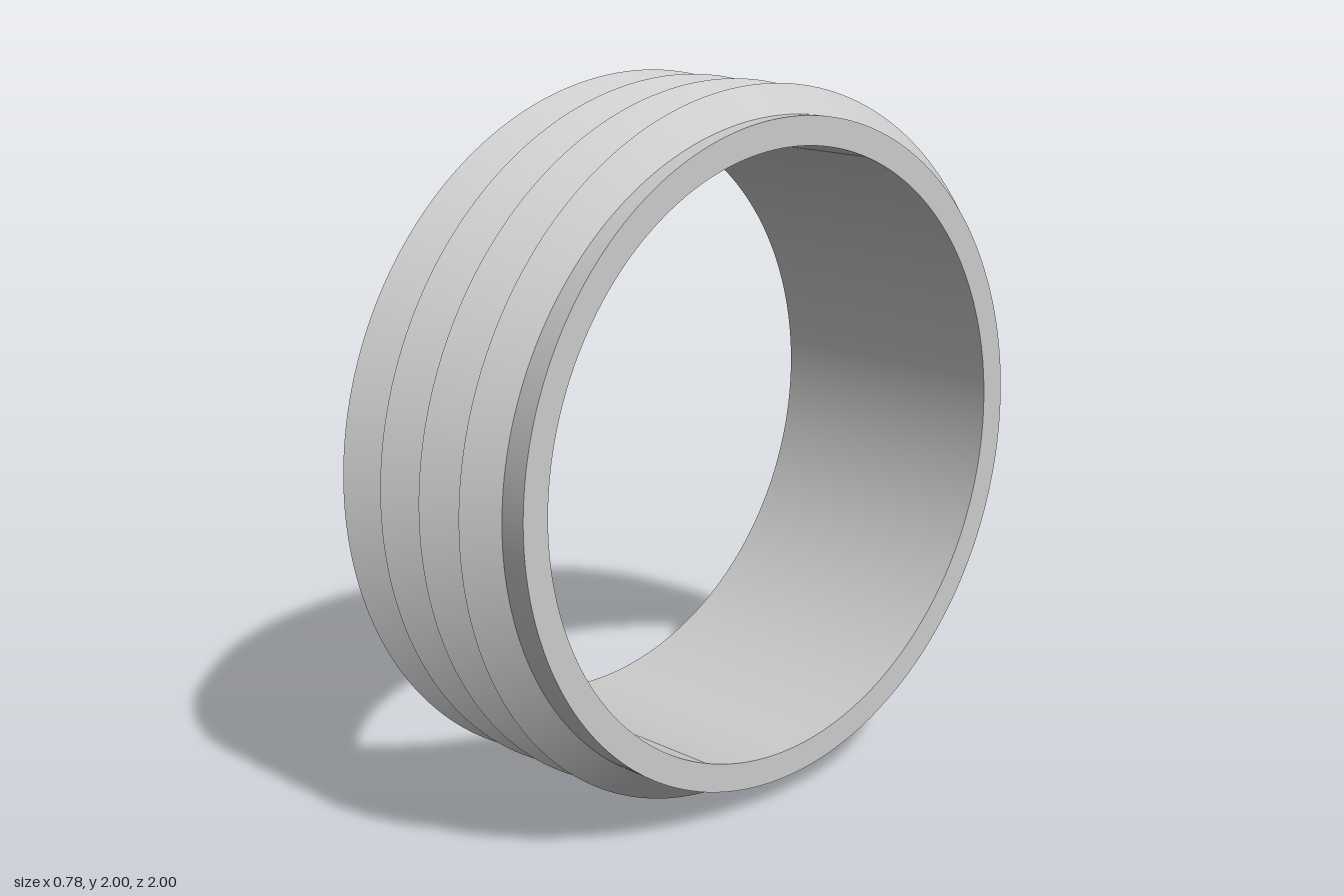
import * as THREE from 'three';
import { toCreasedNormals } from 'three/addons/utils/BufferGeometryUtils.js';

const INNER = 0.846, ROOT = 0.925, CREST = 1.0; // radii
const END = 0.39, SHOULDER = -0.31;             // chamfer runs from -END to SHOULDER
const PITCH = 0.159, HALF = 0.075;              // thread spacing and half width
const SEGMENTS = 192, FIRST = 20, LAST = SEGMENTS * 4.5;

// Thread cross-section at step i as [x, radius], cut off flat at the shoulder
function threadSection(i) {
  const c = -0.402 + PITCH * i / SEGMENTS;
  const clip = (x) => Math.max(x, SHOULDER);
  const radius = (x) => ROOT + (CREST - ROOT) * Math.max(0, 1 - Math.abs(x - c) / HALF);
  const left = clip(c - HALF), crest = clip(c), right = clip(c + HALF);
  return [[left, ROOT], [left, radius(left)], [crest, radius(crest)], [right, ROOT]];
}

// Rotation starts at the front and climbs over the top towards the back
function threadPoints(i) {
  const a = (i / SEGMENTS) * Math.PI * 2;
  return threadSection(i).map(([x, r]) => new THREE.Vector3(x, r * Math.sin(a), r * Math.cos(a)));
}

function threadGeometry() {
  const positions = [];
  const tri = (a, b, c) => {
    const area = b.clone().sub(a).cross(c.clone().sub(a)).length();
    if (area > 1e-9) for (const p of [a, b, c]) positions.push(p.x, p.y, p.z);
  };
  let current = threadPoints(FIRST);
  for (let i = FIRST; i < LAST; i++) {
    const next = threadPoints(i + 1);
    for (let j = 0; j < 3; j++) {
      tri(current[j], current[j + 1], next[j + 1]);
      tri(current[j], next[j + 1], next[j]);
    }
    current = next;
  }
  // Flat face where the thread stops
  tri(current[0], current[2], current[3]);
  const geometry = new THREE.BufferGeometry();
  geometry.setAttribute('position', new THREE.Float32BufferAttribute(positions, 3));
  return toCreasedNormals(geometry, 0.5);
}

export function createModel() {
  const group = new THREE.Group();
  group.name = 'threadedRing';
  const material = new THREE.MeshStandardMaterial({ color: 0xcccccc });

  // Hollow sleeve with one chamfered end
  const profile = [
    [INNER, -END], [ROOT, SHOULDER], [ROOT, END], [INNER, END], [INNER, -END],
  ].map(([r, y]) => new THREE.Vector2(r, y));
  const sleeveGeometry = new THREE.LatheGeometry(profile, SEGMENTS).rotateZ(-Math.PI / 2);
  const sleeve = new THREE.Mesh(toCreasedNormals(sleeveGeometry, 0.5), material);
  sleeve.name = 'sleeve';

  // Helical ridge around the sleeve
  const thread = new THREE.Mesh(threadGeometry(), material);
  thread.name = 'thread';

  for (const part of [sleeve, thread]) {
    part.position.y = 1;
    group.add(part);
  }
  return group;
}
